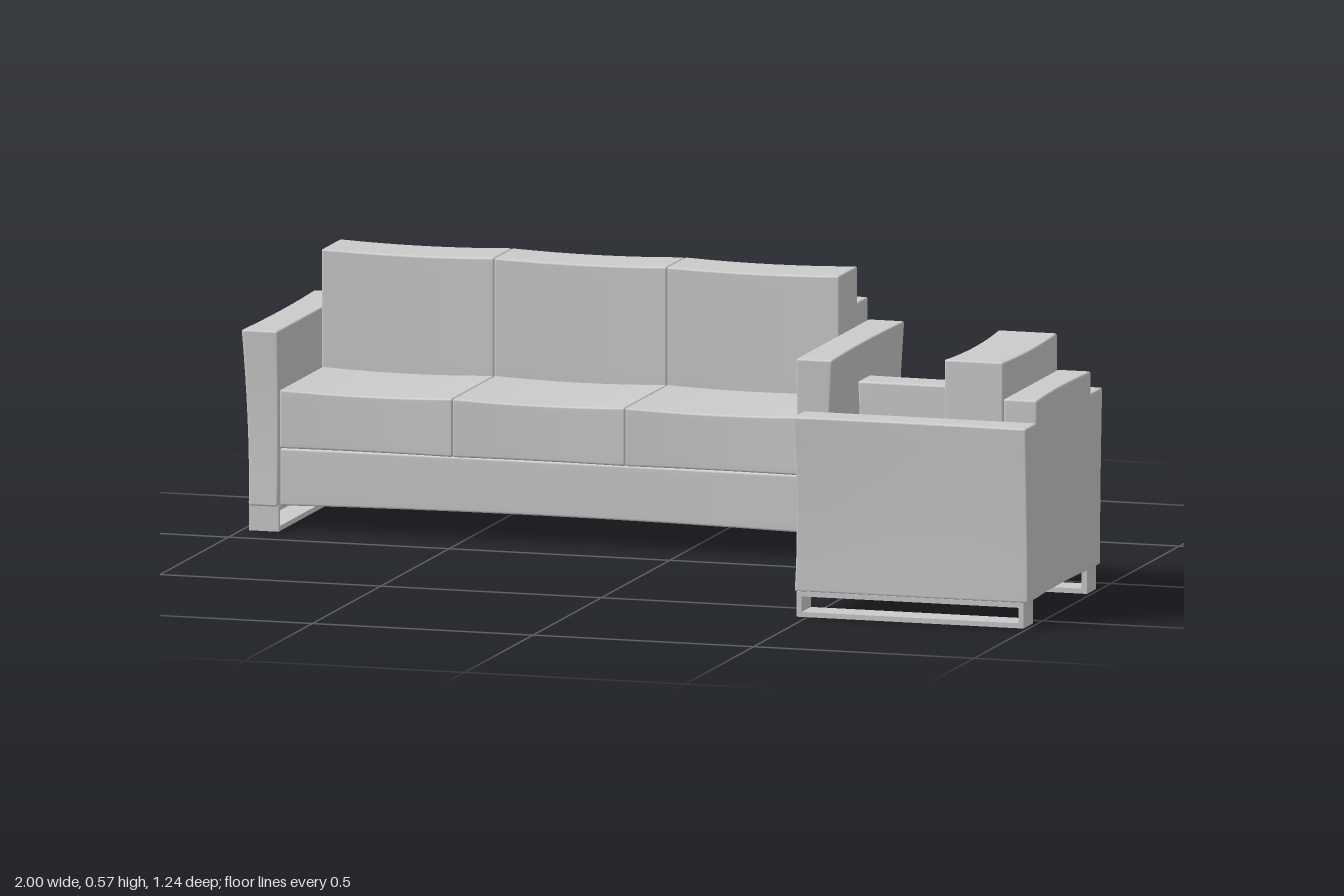
import * as THREE from 'three';
import { mergeVertices } from 'three/addons/utils/BufferGeometryUtils.js';

const material = new THREE.MeshStandardMaterial({ color: 0xcccccc });

// Upholstered block between two corners, softly rounded edges, optional warp(p, u)
// where u is the position inside the block from -1 to 1.
function softBlock(name, min, max, warp, r = 0.005) {
  const half = max.map((v, i) => (v - min[i]) / 2);
  const mid = max.map((v, i) => (v + min[i]) / 2);
  let g = new THREE.BoxGeometry(2, 2, 2, 12, 12, 12);
  g.deleteAttribute('uv');
  g.deleteAttribute('normal');
  const pos = g.attributes.position;
  const p = new THREE.Vector3(), inner = new THREE.Vector3(), u = new THREE.Vector3();
  for (let i = 0; i < pos.count; i++) {
    p.fromBufferAttribute(pos, i);
    for (let a = 0; a < 3; a++) {
      const t = p.getComponent(a), core = half[a] - r, s = Math.abs(t);
      // the outer third of the grid lines falls inside the rounded edge
      const d = s > 0.667 ? core + r * (s - 2 / 3) * 3 : s * 1.5 * core;
      p.setComponent(a, Math.sign(t) * d);
      inner.setComponent(a, THREE.MathUtils.clamp(p.getComponent(a), -core, core));
    }
    p.sub(inner).setLength(r).add(inner);
    u.set(p.x / half[0], p.y / half[1], p.z / half[2]);
    p.add(new THREE.Vector3(...mid));
    if (warp) warp(p, u);
    pos.setXYZ(i, p.x, p.y, p.z);
  }
  g = mergeVertices(g, 1e-5);
  g.computeVertexNormals();
  const mesh = new THREE.Mesh(g, material);
  mesh.name = name;
  return mesh;
}

// Sled foot: a flat rectangular loop, as wide as the arm above it
function sledFoot(x0, x1) {
  const rect = (C, z0, z1, y0, y1) => {
    const c = new C();
    c.moveTo(z0, y0);
    c.lineTo(z1, y0);
    c.lineTo(z1, y1);
    c.lineTo(z0, y1);
    c.closePath();
    return c;
  };
  const shape = rect(THREE.Shape, -0.255, 0.26, 0, 0.056);
  shape.holes.push(rect(THREE.Path, -0.243, 0.248, 0.011, 0.045));
  const g = new THREE.ExtrudeGeometry(shape, { depth: x1 - x0, bevelEnabled: false });
  g.rotateY(-Math.PI / 2); // profile x becomes z, depth runs towards -x
  g.translate(x1, 0, 0);
  const mesh = new THREE.Mesh(g, material);
  mesh.name = 'sledFoot';
  return mesh;
}

// One seat facing +z, with the given outer half width and cushion count
function seating(name, halfWidth, count) {
  const group = new THREE.Group();
  group.name = name;
  const inner = halfWidth - 0.083;

  // Arms flare outwards towards the top and pinch in slightly at mid depth
  for (const side of [-1, 1]) {
    const xs = [side * inner, side * halfWidth].sort((a, b) => a - b);
    group.add(softBlock(side < 0 ? 'rightArm' : 'leftArm',
      [xs[0], 0.055, -0.265], [xs[1], 0.441, 0.265], (p, u) => {
        const out = (u.x * side + 1) / 2, down = (1 - u.y) / 2;
        const pinch = 0.016 * Math.sin(down * Math.PI / 2) + 0.006 * (1 - u.z * u.z) * (1 - down);
        p.x -= side * out * pinch;
        if (u.z > 0) p.z -= 0.006 * u.z * (1 - u.y * u.y);
      }));
    const foot = [side * inner, side * (halfWidth - 0.016)].sort((a, b) => a - b);
    group.add(sledFoot(foot[0], foot[1]));
  }

  // Back panel, its rear face drawn in a little at the middle
  group.add(softBlock('backPanel', [-inner, 0.055, -0.265], [inner, 0.49, -0.188], (p, u) => {
    if (u.z < 0) p.z -= u.z * 0.007 * (1 - u.x * u.x);
  }));

  // Seat base
  group.add(softBlock('seatBase', [-inner, 0.056, -0.188], [inner, 0.182, 0.25], (p, u) => {
    if (u.z > 0) p.z -= 0.006 * u.z * (1 - u.x * u.x);
    if (u.y < 0) p.y += 0.006 * (1 - u.x * u.x);
  }));

  // Seat and back cushions, side by side
  const w = 2 * inner / count;
  for (let i = 0; i < count; i++) {
    const x0 = -inner + i * w, x1 = x0 + w;
    group.add(softBlock('seatCushion', [x0, 0.182, -0.188], [x1, 0.311, 0.252], (p, u) => {
      const sag = 1 - u.x * u.x;
      if (u.y > 0) p.y -= 0.006 * u.y * sag;
      if (u.z > 0) p.z -= 0.007 * u.z * sag;
    }));
    group.add(softBlock('backCushion', [x0, 0.3, -0.188], [x1, 0.57, -0.054], (p, u) => {
      const sag = 1 - u.x * u.x;
      if (u.y > 0) p.y -= 0.005 * u.y * sag;
      if (u.z > 0) p.z -= 0.004 * u.z * sag;
    }));
  }
  return group;
}

export function createModel() {
  const model = new THREE.Group();
  model.name = 'sofaAndArmchair';

  const sofa = seating('sofa', 0.67, 3);
  sofa.position.set(-0.33, 0, -0.357);

  // The armchair stands at a right angle, facing -x
  const chair = seating('armchair', 0.281, 1);
  chair.rotation.y = -Math.PI / 2;
  chair.position.set(0.735, 0, 0.341);

  model.add(sofa, chair);
  return model;
}
